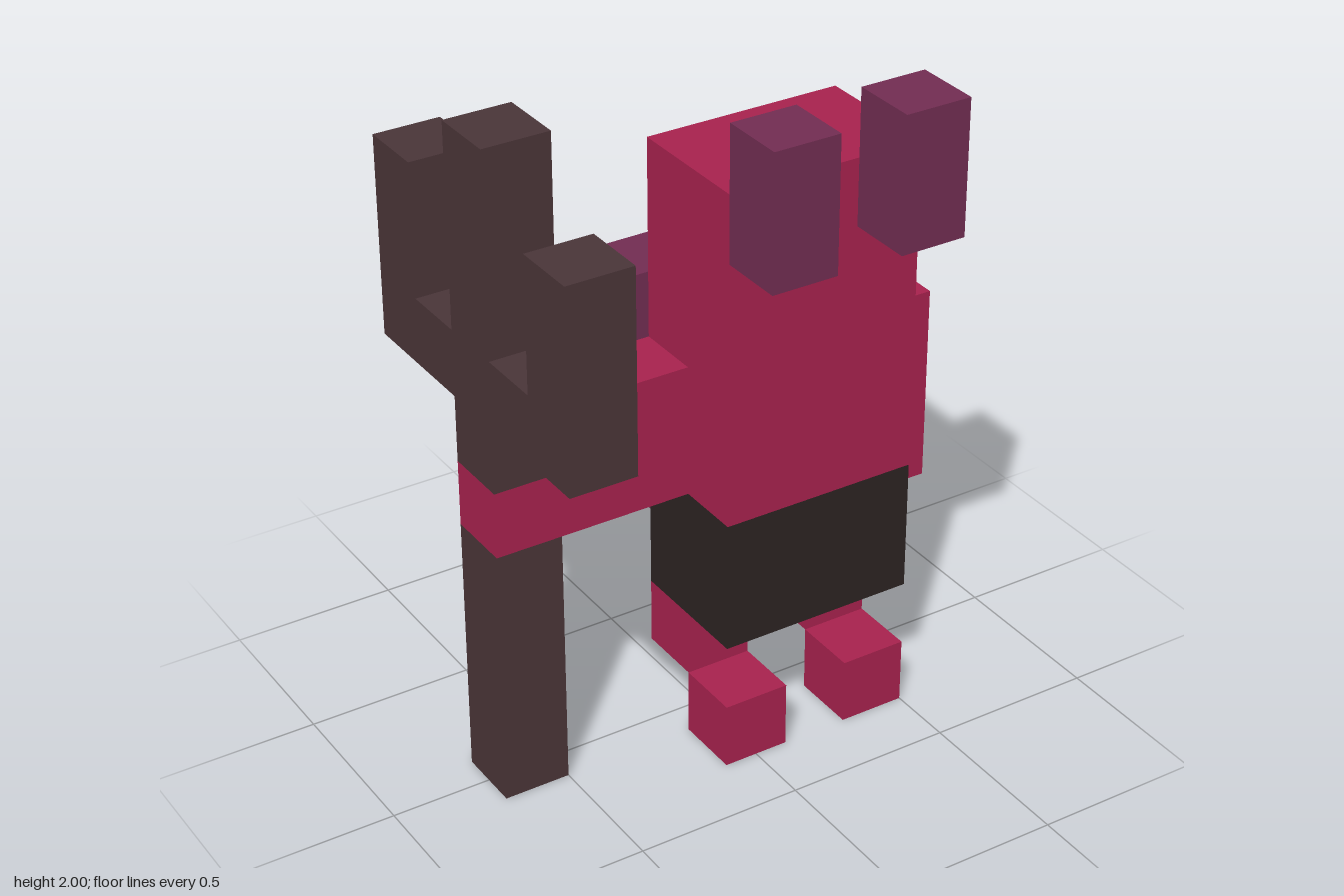
import * as THREE from 'three';

function material(name, color) {
  const m = new THREE.MeshStandardMaterial({ color });
  m.name = name;
  return m;
}

export function createModel() {
  const red = material('red skin', 0xa8224e);
  const purple = material('purple horn and wing', 0x722d52);
  const wood = material('dark brown trident', 0x4a3538);
  const black = material('black shorts', 0x2c2322);

  const model = new THREE.Group();
  model.name = 'impWithTrident';

  const group = (name, x = 0) => {
    const g = new THREE.Group();
    g.name = name;
    g.position.x = x;
    model.add(g);
    return g;
  };

  // Box given by its [min, max] range on each axis
  const block = (parent, name, mat, [x0, x1], [y0, y1], [z0, z1]) => {
    const mesh = new THREE.Mesh(new THREE.BoxGeometry(x1 - x0, y1 - y0, z1 - z0), mat);
    mesh.position.set((x0 + x1) / 2, (y0 + y1) / 2, (z0 + z1) / 2);
    mesh.name = name;
    parent.add(mesh);
  };

  const mid = [-0.1, 0.1];
  const back = [-0.3, -0.1];

  // Everything on the body is laid out around its own centre line
  const body = group('body', 0.2);
  block(body, 'torsoAndHead', red, [-0.3, 0.3], [0.8, 1.8], [-0.1, 0.3]);
  block(body, 'shorts', black, [-0.3, 0.3], [0.4, 0.8], [-0.1, 0.3]);

  // Mirrored horns, legs, feet and stepped wings
  for (const [side, s] of [['left', 1], ['right', -1]]) {
    const span = (a, b) => (s > 0 ? [a, b] : [-b, -a]);
    block(body, side + 'Horn', purple, span(0.1, 0.3), [1.6, 2], [0.3, 0.5]);
    block(body, side + 'Leg', red, span(0.1, 0.3), [0.2, 0.4], mid);
    block(body, side + 'Foot', red, span(0.1, 0.3), [0, 0.2], [0.1, 0.3]);
    block(body, side + 'WingInner', purple, span(0.1, 0.3), [1, 1.4], back);
    block(body, side + 'WingOuter', purple, span(0.3, 0.5), [0.8, 1.4], back);
  }

  // Tail turning upward at its tip
  block(body, 'tailBase', purple, mid, [0.4, 0.6], back);
  block(body, 'tailTip', purple, mid, [0.4, 1], [-0.5, -0.3]);

  // Hanging left arm, right arm reaching out to the trident
  block(body, 'leftArm', red, [0.3, 0.5], [0.6, 1.2], mid);
  block(body, 'rightUpperArm', red, [-0.5, -0.3], [0.8, 1.2], mid);
  block(body, 'rightForearmAndHand', red, [-0.9, -0.5], [0.8, 1], mid);

  // Trident, its shaft broken by the gripping hand
  const trident = group('trident', -0.6);
  block(trident, 'lowerShaft', wood, mid, [0, 0.8], mid);
  block(trident, 'upperShaft', wood, mid, [1, 2], mid);
  for (const [side, s] of [['front', 1], ['back', -1]]) {
    const span = (a, b) => (s > 0 ? [a, b] : [-b, -a]);
    block(trident, side + 'Crossbar', wood, mid, [1.2, 1.4], span(0.1, 0.3));
    block(trident, side + 'Prong', wood, mid, [1.2, 1.8], span(0.3, 0.5));
  }

  return model;
}
